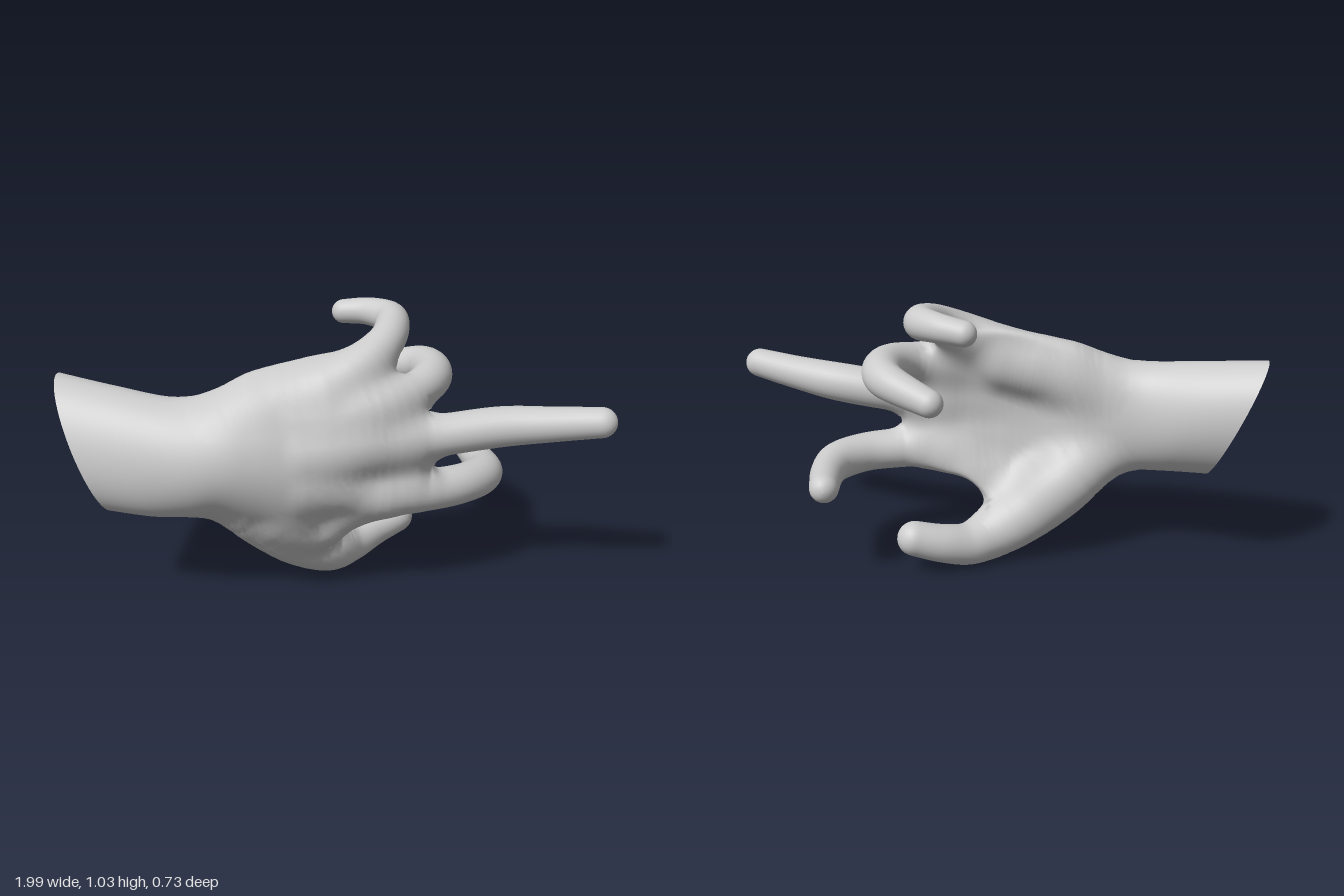
import * as THREE from 'three';

const skin = new THREE.MeshStandardMaterial({ color: 0xcccccc, roughness: 0.8 });
const BLEND = 0.075;

// Smooth interpolation through rows of numbers, t from 0 to 1
function sample(rows, t) {
  const f = t * (rows.length - 1);
  const i = Math.min(Math.floor(f), rows.length - 2);
  const s = f - i, s2 = s * s, s3 = s2 * s;
  const at = (k) => rows[Math.max(0, Math.min(rows.length - 1, k))];
  const [a, b, c, d] = [at(i - 1), at(i), at(i + 1), at(i + 2)];
  return b.map((p, k) => p * (2 * s3 - 3 * s2 + 1) + (c[k] - a[k]) / 2 * (s3 - 2 * s2 + s)
    + c[k] * (3 * s2 - 2 * s3) + (d[k] - p) / 2 * (s3 - s2));
}

// Skin a series of closed rings (arrays of Vector3)
function loft(rings, name) {
  const n = rings[0].length, index = [];
  for (let i = 0; i < rings.length - 1; i++) {
    for (let j = 0; j < n; j++) {
      const a = i * n + j, b = i * n + (j + 1) % n;
      index.push(a, b, b + n, a, b + n, a + n);
    }
  }
  const geo = new THREE.BufferGeometry().setFromPoints(rings.flat());
  geo.setIndex(index);
  geo.computeVertexNormals();
  const mesh = new THREE.Mesh(geo, skin);
  mesh.name = name;
  return mesh;
}

// Tapered round limb along rows of [x, y, z, radius] with domed ends, and its distance function
function limb(name, ...rows) {
  const steps = 56, sides = 28, domeSteps = 8, rings = [];
  const up = new THREE.Vector3(0, 1, 0);
  const point = (t) => new THREE.Vector3(...sample(rows, t).slice(0, 3));
  // One ring at t, moved along the path by angle a of a dome
  const ring = (t, a) => {
    const r = sample(rows, t)[3], radius = Math.max(r * Math.cos(a), 0.0005);
    const T = point(Math.min(1, t + 0.01)).sub(point(Math.max(0, t - 0.01))).normalize();
    const V = new THREE.Vector3().crossVectors(T, up).normalize();
    const U = new THREE.Vector3().crossVectors(V, T);
    const c = point(t).addScaledVector(T, r * Math.sin(a));
    rings.push(Array.from({ length: sides }, (_, j) => {
      const b = j / sides * Math.PI * 2;
      return c.clone().addScaledVector(U, Math.cos(b) * radius).addScaledVector(V, Math.sin(b) * radius);
    }));
  };
  for (let k = domeSteps; k > 0; k--) ring(0, -k / domeSteps * Math.PI / 2);
  for (let i = 0; i <= steps; i++) ring(i / steps, 0);
  for (let k = 1; k <= domeSteps; k++) ring(1, k / domeSteps * Math.PI / 2);

  const spine = Array.from({ length: 25 }, (_, i) => sample(rows, i / 24));
  const distance = (x, y, z) => {
    let best = Infinity;
    for (let i = 0; i < 24; i++) {
      const a = spine[i], b = spine[i + 1];
      const ex = b[0] - a[0], ey = b[1] - a[1], ez = b[2] - a[2];
      const px = x - a[0], py = y - a[1], pz = z - a[2];
      const h = Math.max(0, Math.min(1, (px * ex + py * ey + pz * ez) / (ex * ex + ey * ey + ez * ez)));
      const qx = px - ex * h, qy = py - ey * h, qz = pz - ez * h;
      best = Math.min(best, Math.sqrt(qx * qx + qy * qy + qz * qz) - a[3] - (b[3] - a[3]) * h);
    }
    return best;
  };
  return { mesh: loft(rings, name), distance };
}

// Forearm and cupped palm: [x, yBottom, yTop, zMiddle, halfDepth, cupping, endSlant]
const palmRows = [
  [-0.9, 0.35, 0.83, -0.02, 0.168, 0, 0.42],
  [-0.72, 0.34, 0.8, 0.05, 0.17, 0, 0.3],
  [-0.55, 0.335, 0.775, 0.115, 0.165, 0.02, 0.1],
  [-0.42, 0.31, 0.8, 0.145, 0.16, 0.06, 0],
  [-0.3, 0.23, 0.85, 0.16, 0.147, 0.1, 0],
  [-0.15, 0.15, 0.885, 0.19, 0.11, 0.14, 0],
  [-0.02, 0.21, 0.905, 0.197, 0.095, 0.15, 0],
  [0.1, 0.31, 0.89, 0.188, 0.088, 0.13, 0],
  [0.2, 0.335, 0.83, 0.17, 0.078, 0.08, 0],
  [0.3, 0.37, 0.71, 0.17, 0.055, 0.03, 0],
  [0.35, 0.47, 0.59, 0.17, 0.015, 0, 0],
];
const TILT = 0.17;

function palm() {
  const sides = 80;
  const rings = Array.from({ length: 111 }, (_, i) => {
    const [x, yB, yT, z0, hz, cup, slant] = sample(palmRows, i / 110);
    const yc = (yB + yT) / 2, hy = (yT - yB) / 2;
    return Array.from({ length: sides }, (_, j) => {
      const a = j / sides * Math.PI * 2, u = Math.cos(a);
      const z = z0 + hz * Math.sin(a) - cup * u * u - TILT * slant * u;
      return new THREE.Vector3(x - slant * (hy * u + 0.4 * (z - z0)), yc + hy * u, z);
    });
  });
  const table = Array.from({ length: 401 }, (_, i) => sample(palmRows, i / 400));
  const distance = (x, y, z) => {
    let lo = 0, hi = 400;
    while (hi - lo > 1) {
      const mid = (lo + hi) >> 1;
      if (table[mid][0] > x) hi = mid; else lo = mid;
    }
    const [, yB, yT, z0, hz, cup, slant] = table[lo];
    const hy = (yT - yB) / 2, u = (y - (yB + yT) / 2) / hy;
    const w = (z - z0 + cup * u * u + TILT * slant * u) / hz;
    const q = Math.hypot(u, w) + 1e-6;
    const slope = Math.hypot(u + w * (2 * cup * u + TILT * slant) / hz, w * hy / hz) / (hy * q) + 1e-6;
    const d = (q - 1) / slope, past = x - 0.35;
    return past > 0 ? Math.hypot(Math.max(d, 0), past) : d;
  };
  return { mesh: loft(rings, 'palmAndForearm'), end: rings[0], distance };
}

// Pull the seams between parts onto one softly blended skin
function blendSeams(parts) {
  const field = (x, y, z) => parts.reduce((sum, part) => {
    const d = part.distance(x, y, z);
    const h = Math.max(BLEND - Math.abs(sum - d), 0) / BLEND;
    return Math.min(sum, d) - h * h * BLEND / 4;
  }, 10);
  const gradient = (p, e = 0.004) => new THREE.Vector3(
    field(p.x + e, p.y, p.z) - field(p.x - e, p.y, p.z),
    field(p.x, p.y + e, p.z) - field(p.x, p.y - e, p.z),
    field(p.x, p.y, p.z + e) - field(p.x, p.y, p.z - e)).normalize();
  for (const part of parts) {
    const { position, normal } = part.mesh.geometry.attributes;
    const others = parts.filter((other) => other !== part);
    const p = new THREE.Vector3();
    for (let i = 0; i < position.count; i++) {
      p.fromBufferAttribute(position, i);
      const near = Math.min(...others.map((other) => other.distance(p.x, p.y, p.z)));
      if (near > BLEND || near < -0.04) continue;
      for (let k = 0; k < 4; k++) p.addScaledVector(gradient(p), -field(p.x, p.y, p.z));
      position.setXYZ(i, p.x, p.y, p.z);
      normal.setXYZ(i, ...gradient(p).toArray());
    }
  }
}

export function createModel() {
  const hand = new THREE.Group();
  hand.name = 'hand';
  const palmPart = palm();

  // Each finger starts inside the back of the hand, forming its tendon ridge
  const index = limb('indexFinger',
    [-0.12, 0.46, 0.215, 0.05], [0.08, 0.42, 0.195, 0.07], [0.22, 0.405, 0.175, 0.083],
    [0.37, 0.397, 0.15, 0.078], [0.5, 0.395, 0.105, 0.075], [0.595, 0.39, 0.02, 0.074],
    [0.62, 0.385, -0.09, 0.064], [0.608, 0.387, -0.245, 0.054]);
  const middle = limb('middleFinger',
    [-0.12, 0.59, 0.22, 0.05], [0.08, 0.61, 0.205, 0.068], [0.22, 0.615, 0.185, 0.082],
    [0.37, 0.62, 0.175, 0.077], [0.6, 0.65, 0.195, 0.075], [0.78, 0.671, 0.25, 0.065],
    [0.94, 0.692, 0.31, 0.056]);
  const ring = limb('ringFinger',
    [-0.12, 0.69, 0.175, 0.05], [0.05, 0.73, 0.18, 0.062], [0.18, 0.75, 0.16, 0.076],
    [0.3, 0.768, 0.1, 0.071], [0.38, 0.783, 0.01, 0.074], [0.402, 0.787, -0.1, 0.073],
    [0.365, 0.777, -0.205, 0.066], [0.215, 0.735, -0.31, 0.05]);
  const little = limb('littleFinger',
    [-0.15, 0.78, 0.1, 0.055], [0, 0.828, 0.125, 0.072], [0.12, 0.882, 0.095, 0.074],
    [0.205, 0.935, 0.02, 0.068], [0.248, 0.968, -0.08, 0.064], [0.247, 0.98, -0.16, 0.06],
    [0.18, 0.983, -0.235, 0.052], [0.095, 0.975, -0.275, 0.046]);
  const thumb = limb('thumb',
    [-0.42, 0.42, 0.09, 0.08], [-0.28, 0.315, 0.055, 0.125], [-0.14, 0.195, 0.035, 0.118],
    [-0.01, 0.115, 0, 0.102], [0.09, 0.09, -0.07, 0.082], [0.19, 0.115, -0.125, 0.073],
    [0.293, 0.148, -0.155, 0.066]);

  // Skin between thumb and index finger, and the soft pad below the little finger
  const web = limb('thumbWeb', [-0.2, 0.32, 0.14, 0.07], [-0.06, 0.26, 0.125, 0.075],
    [0.04, 0.32, 0.145, 0.07], [0.16, 0.38, 0.16, 0.065]);
  const heel = limb('heelPad', [-0.42, 0.66, 0.11, 0.085], [-0.25, 0.72, 0.1, 0.1],
    [-0.05, 0.76, 0.115, 0.085]);

  const parts = [palmPart, index, middle, ring, little, thumb, web, heel];
  blendSeams(parts);
  parts.forEach((part) => hand.add(part.mesh));

  // Flat slanted end of the forearm, with its own normals for a crisp edge
  const { end } = palmPart, centre = new THREE.Vector3();
  end.forEach((p) => centre.addScaledVector(p, 1 / end.length));
  hand.add(loft([end.map(() => centre), end], 'forearmEnd'));
  return hand;
}
